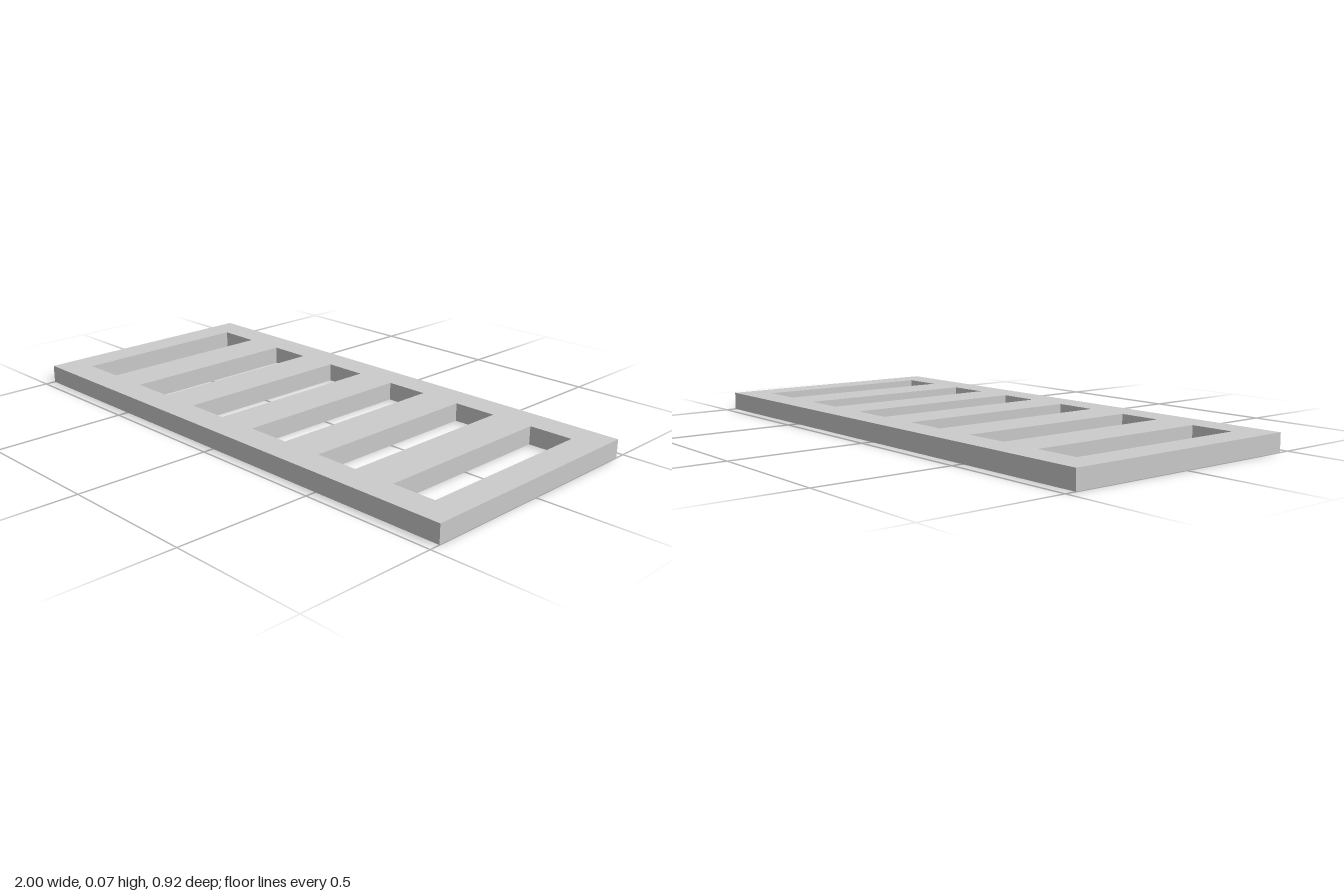
import * as THREE from 'three';

// Rectangle centred on (cx, 0), as a Shape or a hole Path
function rect(Type, cx, w, h) {
  const p = new Type();
  p.moveTo(cx - w / 2, -h / 2);
  p.lineTo(cx + w / 2, -h / 2);
  p.lineTo(cx + w / 2, h / 2);
  p.lineTo(cx - w / 2, h / 2);
  p.closePath();
  return p;
}

export function createModel() {
  const group = new THREE.Group();
  group.name = 'slottedGrate';
  const thickness = 0.067;
  const slots = 6, pitch = 0.323;

  // Flat plate with a row of evenly spaced slots
  const outline = rect(THREE.Shape, 0, 2, 0.92);
  for (let i = 0; i < slots; i++) {
    outline.holes.push(rect(THREE.Path, (i - (slots - 1) / 2) * pitch, 0.165, 0.702));
  }
  const geometry = new THREE.ExtrudeGeometry(outline, { depth: thickness, bevelEnabled: false });
  geometry.rotateX(-Math.PI / 2); // lay flat, underside on y = 0

  const plate = new THREE.Mesh(
    geometry,
    new THREE.MeshStandardMaterial({ color: 0xcccccc, flatShading: true })
  );
  plate.name = 'slottedPlate';
  group.add(plate);
  return group;
}
